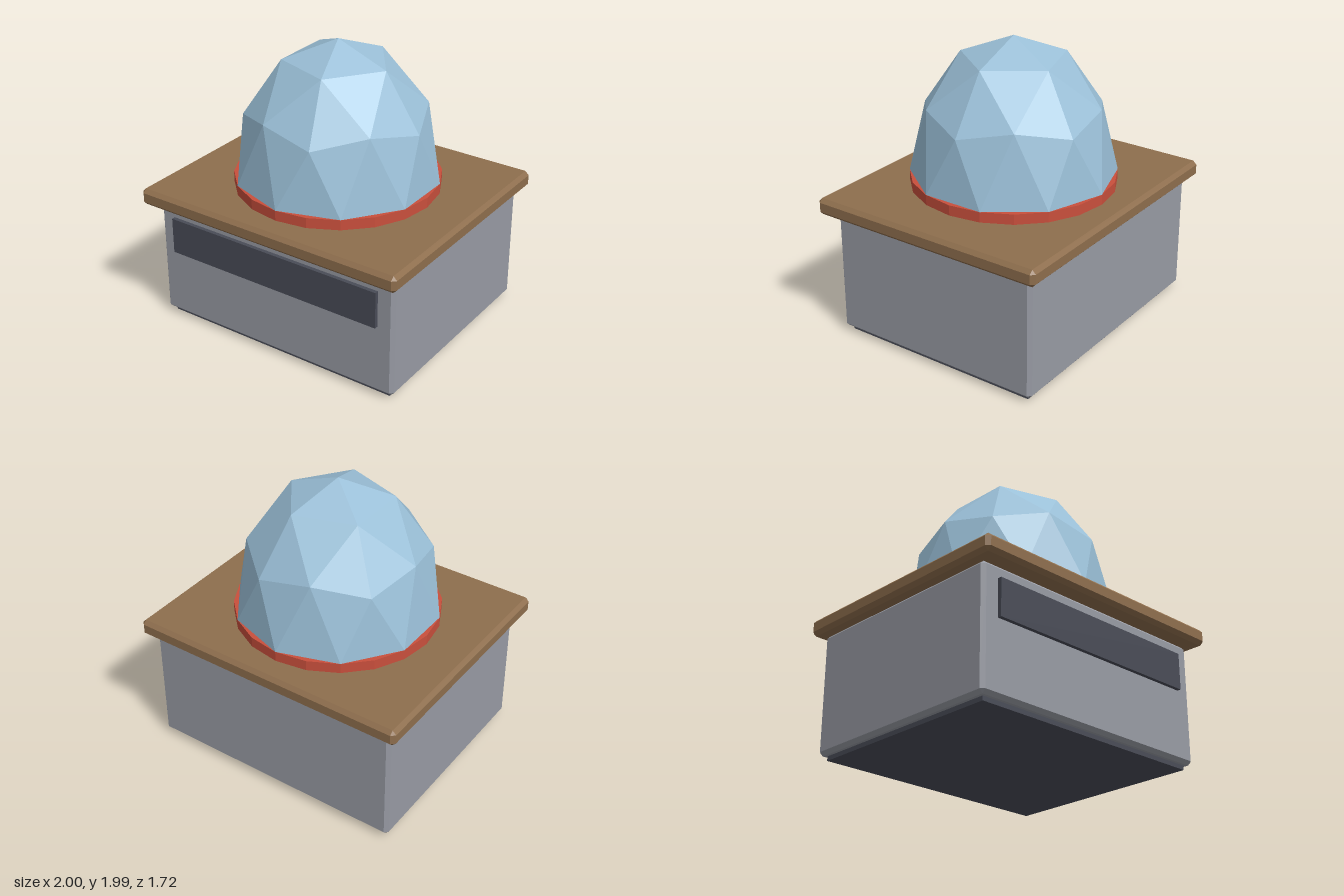
import * as THREE from 'three';
import { ConvexGeometry } from 'three/addons/geometries/ConvexGeometry.js';

const flat = (name, color) => {
  const m = new THREE.MeshStandardMaterial({ color, flatShading: true });
  m.name = name;
  return m;
};

// Box with every edge cut by a single flat chamfer
function chamferBox(w, h, d, c) {
  const pts = [];
  for (const x of [-1, 1]) for (const y of [-1, 1]) for (const z of [-1, 1]) {
    for (let a = 0; a < 3; a++) {
      const cut = [0, 1, 2].map((i) => (i === a ? 0 : c));
      pts.push(new THREE.Vector3(x * (w / 2 - cut[0]), y * (h / 2 - cut[1]), z * (d / 2 - cut[2])));
    }
  }
  return new ConvexGeometry(pts);
}

// Upper half of a two-frequency geodesic sphere, five-fold around the y axis
function geodesicDome(r, h) {
  const point = (polar, deg) => {
    const a = THREE.MathUtils.degToRad(deg), p = THREE.MathUtils.degToRad(polar);
    return [r * Math.sin(p) * Math.cos(a), h * Math.cos(p), -r * Math.sin(p) * Math.sin(a)];
  };
  const pos = [];
  const tri = (...corners) => corners.forEach((p) => pos.push(...p));
  const top = [0, h, 0];
  for (let k = 0; k < 5; k++) {
    const t = 72 * k;
    const a0 = point(31.72, t), a1 = point(31.72, t + 72);
    const b0 = point(63.43, t), b1 = point(63.43, t + 72);
    const c = point(58.28, t + 36);
    const e0 = point(90, t - 18), e1 = point(90, t + 18), e2 = point(90, t + 54);
    tri(top, a0, a1);
    tri(a0, c, a1);
    tri(a0, b0, c);
    tri(a1, c, b1);
    tri(b0, e0, e1);
    tri(b0, e1, c);
    tri(c, e1, e2);
    tri(c, e2, b1);
  }
  const g = new THREE.BufferGeometry();
  g.setAttribute('position', new THREE.Float32BufferAttribute(pos, 3));
  g.computeVertexNormals();
  return g;
}

export function createModel() {
  const group = new THREE.Group();
  const grey = flat('body grey', 0x989ba4);
  const dark = flat('dark slate', 0x494c57);
  const brown = flat('wood brown', 0x8e6e4d);
  const red = flat('ring red', 0xc94f3c);
  const blue = flat('dome blue', 0x9bc0d8);

  const add = (name, geometry, material, x, y, z) => {
    const mesh = new THREE.Mesh(geometry, material);
    mesh.name = name;
    mesh.position.set(x, y, z);
    group.add(mesh);
  };

  // Cabinet
  add('plinth', new THREE.BoxGeometry(1.77, 0.05, 1.45), dark, 0, 0.025, -0.022);
  add('body', chamferBox(1.86, 0.835, 1.54, 0.024), grey, 0, 0.4475, -0.022);
  add('frontPanel', new THREE.BoxGeometry(1.625, 0.255, 0.05), dark, 0, 0.647, 0.75);

  // Overhanging top, mounting ring and dome
  add('topSlab', chamferBox(2, 0.117, 1.72, 0.026), brown, 0, 0.923, 0);
  add('ring', new THREE.CylinderGeometry(0.697, 0.697, 0.075, 20), red, 0, 1.0155, 0);
  add('dome', geodesicDome(0.697, 0.94), blue, 0, 1.052, 0);
  return group;
}
